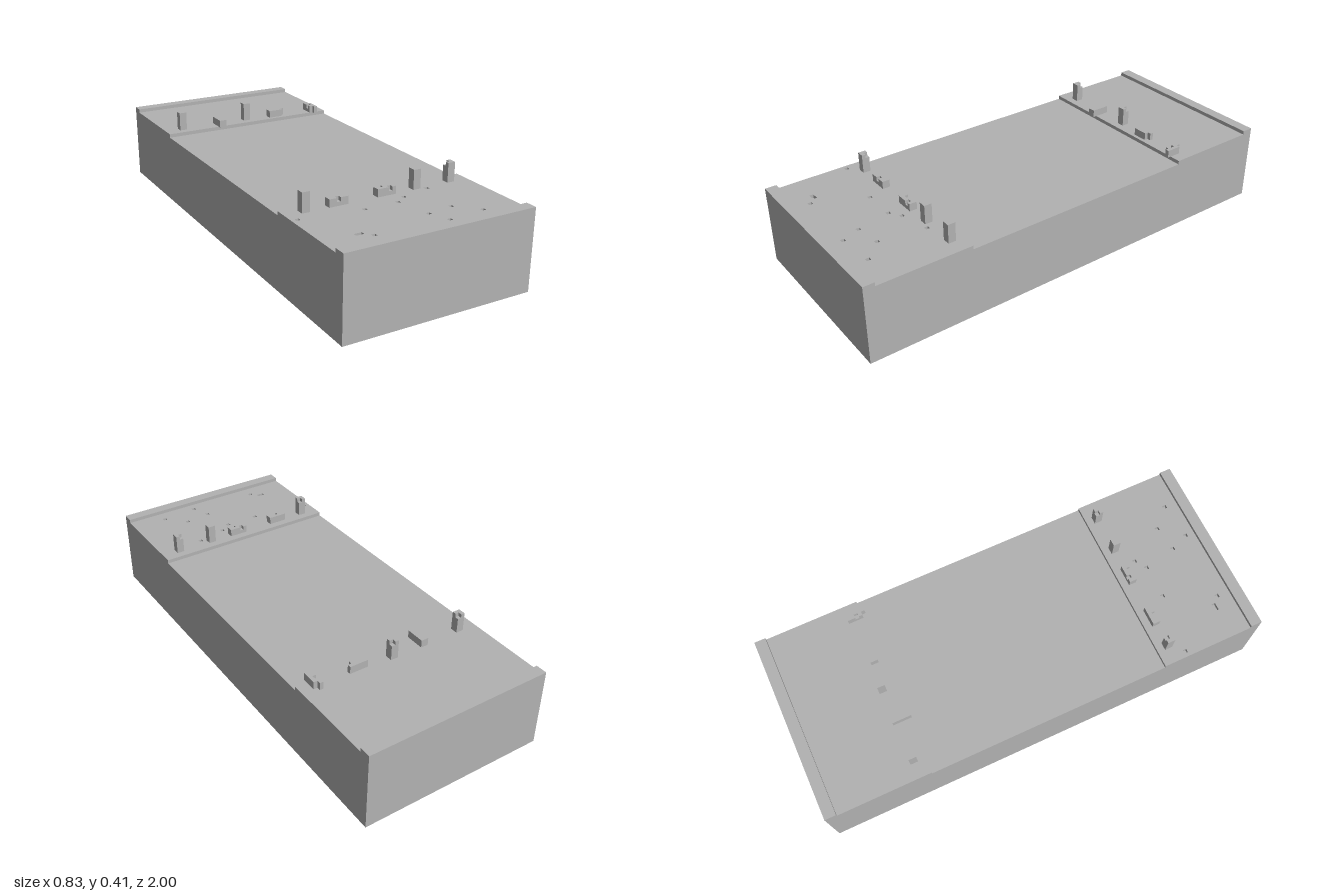
import * as THREE from 'three';
import { mergeGeometries } from 'three/addons/utils/BufferGeometryUtils.js';

// Everything sits on a cube grid; V is one cell
const V = 2 / 121;
const HALF_X = 25, HALF_Z = 60.5, CURB = 57.5, WALK = 32.5;
const ROAD_Y = 19, WALK_Y = 20, CURB_Y = 21;

// Outward directions as [rotation axis, angle, offset] for a unit plane
const FACES = [
  { d: [0, 0, 1], rx: 0, ry: 0 },
  { d: [0, 0, -1], rx: 0, ry: Math.PI },
  { d: [1, 0, 0], rx: 0, ry: Math.PI / 2 },
  { d: [-1, 0, 0], rx: 0, ry: -Math.PI / 2 },
  { d: [0, 1, 0], rx: -Math.PI / 2, ry: 0 },
  { d: [0, -1, 0], rx: Math.PI / 2, ry: 0 },
];

// Block of cells with some chipped away; only exposed faces are built
function chippedBlock(nx, ny, nz, missing) {
  const gone = new Set(missing.map(c => c.join()));
  const solid = (x, y, z) => x >= 0 && y >= 0 && z >= 0 && x < nx && y < ny && z < nz
    && !gone.has([x, y, z].join());
  const quads = [];
  for (let x = 0; x < nx; x++) for (let y = 0; y < ny; y++) for (let z = 0; z < nz; z++) {
    if (!solid(x, y, z)) continue;
    for (const { d, rx, ry } of FACES) {
      if (solid(x + d[0], y + d[1], z + d[2])) continue;
      quads.push(new THREE.PlaneGeometry(1, 1).rotateX(rx).rotateY(ry)
        .translate(x + 0.5 + d[0] / 2, y + 0.5 + d[1] / 2, z + 0.5 + d[2] / 2));
    }
  }
  return mergeGeometries(quads).scale(V, V, V);
}

export function createModel() {
  const model = new THREE.Group();
  const stone = new THREE.MeshStandardMaterial({ color: 0xb2b2b2 });
  stone.name = 'grey stone';

  const add = (name, geometry, x = 0, y = 0, z = 0) => {
    const mesh = new THREE.Mesh(geometry, stone);
    mesh.name = name;
    mesh.position.set(x * V, y * V, z * V);
    model.add(mesh);
  };

  // Road body: stepped profile in (z, y), swept across the width
  const profile = [
    [-HALF_Z, 0], [HALF_Z, 0], [HALF_Z, CURB_Y], [CURB, CURB_Y], [CURB, ROAD_Y],
    [-WALK, ROAD_Y], [-WALK, WALK_Y], [-CURB, WALK_Y], [-CURB, CURB_Y], [-HALF_Z, CURB_Y],
  ].map(([z, y]) => new THREE.Vector2(z * V, y * V));
  add('roadBody', new THREE.ExtrudeGeometry(new THREE.Shape(profile),
    { depth: 2 * HALF_X * V, bevelEnabled: false }).rotateY(-Math.PI / 2), HALF_X);

  // Front pavement slab with one-cell pits: [x, z centre, width]
  const rect = (x0, x1, z0, z1) => [[x0, -z1], [x1, -z1], [x1, -z0], [x0, -z0]]
    .map(([x, y]) => new THREE.Vector2(x * V, y * V));
  const pits = [
    [-24, 39, 1], [-8, 41, 1], [1, 41, 1], [4, 39, 1], [12, 37, 1], [3, 50, 1],
    [10, 49, 1], [-17, 52, 2], [-14, 54, 1], [5, 55, 1], [15, 54, 1],
  ];
  const slab = new THREE.Shape(rect(-HALF_X, HALF_X, WALK, CURB));
  for (const [x, z, w] of pits) {
    slab.holes.push(new THREE.Path(rect(x, x + w, z - 0.5, z + 0.5).reverse()));
  }
  add('frontPavement', new THREE.ExtrudeGeometry(slab, { depth: V, bevelEnabled: false })
    .rotateX(-Math.PI / 2), 0, ROAD_Y);

  // Standing bollards, each with a chipped top: [x, z, missing cells]
  const standing = [
    [-21, 34.5, [[1, 4, 0]]], [9, 34.5, []], [19, 34.5, [[0, 4, 0]]],
    [-21, -36.5, [[1, 4, 0]]], [-1, -36.5, [[1, 4, 0]]],
  ];
  for (const [x, z, missing] of standing) {
    add('standingBollard', chippedBlock(2, 5, 2, missing), x, WALK_Y, z);
  }

  // Fallen bollards: [x, z, length in x, length in z, missing cells]
  const fallen = [
    [-14, 34.5, 5, 2, [[2, 1, 1]]],
    [-1, 34.5, 5, 2, [[1, 1, 0], [3, 1, 1]]],
    [-10, -36.5, 2, 5, []],
    [7, -35.5, 5, 2, [[4, 0, 1], [4, 1, 1]]],
    [20, -36.5, 2, 5, [[1, 0, 0], [1, 1, 0], [0, 0, 4], [0, 1, 4], [0, 1, 2]]],
  ];
  for (const [x, z, nx, nz, missing] of fallen) {
    add('fallenBollard', chippedBlock(nx, 2, nz, missing), x, WALK_Y, z);
  }
  return model;
}
